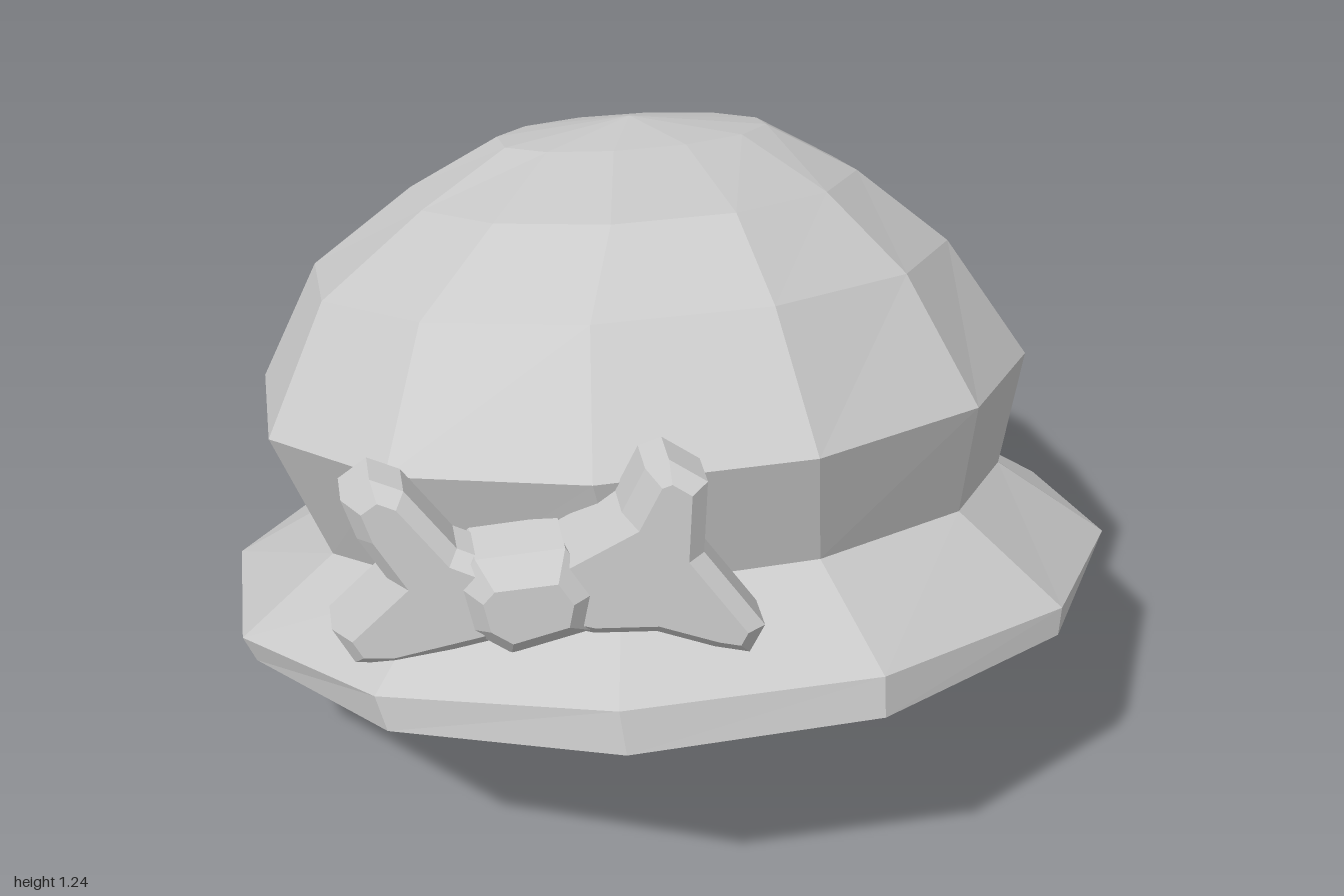
import * as THREE from 'three';

const SIDES = 12;
const material = new THREE.MeshStandardMaterial({ color: 0xcccccc, flatShading: true });

// A tilted egg-shaped ring around (cx, cz), reaching rx sideways and front / back along z.
// Height is y + slopeZ * z + slopeX * x + bend * z * z; skew pulls the back out on one side.
function ring({ cx, cz, rx, front, back, y, slopeZ = 0, slopeX = 0, bend = 0, skew = 0 }) {
  const points = [];
  const grow = 1 / Math.cos(Math.PI / SIDES); // makes the flat sides reach the extents
  for (let j = 0; j < SIDES; j++) {
    const a = ((j + 0.5) / SIDES) * Math.PI * 2;
    const c = Math.cos(a);
    const side = rx * grow * Math.sin(a);
    const x = cx + side;
    const z = cz + grow * c * (c > 0 ? front : back) + (c < 0 ? skew * side : 0);
    points.push(x, y + slopeZ * z + slopeX * x + bend * z * z, z);
  }
  return points;
}

// Skins a sequence of rings into one surface; a ring of zero width closes it.
function loft(name, rings) {
  const index = [];
  for (let i = 0; i < rings.length - 1; i++) {
    for (let j = 0; j < SIDES; j++) {
      const k = (j + 1) % SIDES;
      const a = i * SIDES + j, b = i * SIDES + k;
      const c = a + SIDES, d = b + SIDES;
      if (rings[i].rx > 0) index.push(a, b, d);
      if (rings[i + 1].rx > 0) index.push(a, d, c);
    }
  }
  const geometry = new THREE.BufferGeometry();
  geometry.setAttribute('position', new THREE.Float32BufferAttribute(rings.flatMap(ring), 3));
  geometry.setIndex(index);
  const flat = geometry.toNonIndexed();
  flat.computeVertexNormals();
  const mesh = new THREE.Mesh(flat, material);
  mesh.name = name;
  return mesh;
}

// A bevelled outline, slanted to follow the round of the crown.
function bowPiece(name, outline, thickness, bevel) {
  const shape = new THREE.Shape(outline.map(([x, y]) => new THREE.Vector2(x, y)));
  const geometry = new THREE.ExtrudeGeometry(shape, {
    depth: thickness - 2 * bevel,
    bevelEnabled: true,
    bevelThickness: bevel,
    bevelSize: bevel,
    bevelOffset: -bevel,
    bevelSegments: 1,
  });
  geometry.translate(0, 0, bevel - thickness / 2);
  const p = geometry.attributes.position;
  for (let i = 0; i < p.count; i++) {
    p.setZ(i, p.getZ(i) + 0.7 + 0.45 * (p.getX(i) + 0.4));
  }
  geometry.computeVertexNormals();
  const mesh = new THREE.Mesh(geometry, material);
  mesh.name = name;
  return mesh;
}

export function createModel() {
  const model = new THREE.Group();
  model.name = 'hat';

  const opening = { cx: 0, cz: 0.02, rx: 0.575, front: 0.67, back: 0.67, y: 0.275, slopeZ: 0.33, slopeX: 0.03, skew: 0.05 };
  const crownBase = { cx: -0.01, cz: -0.04, rx: 0.72, front: 0.74, back: 0.77, y: 0.435, slopeZ: 0.355, slopeX: 0.05, skew: 0.06 };

  // Hollow inside of the crown, a thick wall away from the outside
  const lining = loft('lining', [
    { cx: -0.03, cz: -0.22, rx: 0, front: 0, back: 0, y: 1.12 },
    { cx: -0.03, cz: -0.21, rx: 0.38, front: 0.42, back: 0.45, y: 1.07, slopeZ: 0.29, skew: 0.1 },
    { cx: -0.045, cz: -0.13, rx: 0.56, front: 0.58, back: 0.66, y: 0.93, slopeZ: 0.3, skew: 0.1 },
    { cx: -0.04, cz: -0.03, rx: 0.68, front: 0.68, back: 0.81, y: 0.73, slopeZ: 0.28, slopeX: 0.03, skew: 0.1 },
    opening,
  ]);

  // Brim: underside, thin outer edge, upper side
  const brim = loft('brim', [
    opening,
    { cx: 0, cz: 0.02, rx: 0.905, front: 0.98, back: 0.95, y: 0.258, slopeZ: 0.262, slopeX: 0.046, skew: 0.05 },
    { cx: -0.005, cz: 0.01, rx: 0.925, front: 0.97, back: 0.98, y: 0.29, slopeZ: 0.285, slopeX: 0.03, bend: 0.035, skew: 0.06 },
    crownBase,
  ]);

  // Crown: flares out to its widest ring, then domes over
  const crown = loft('crown', [
    crownBase,
    { cx: -0.05, cz: -0.02, rx: 0.79, front: 0.77, back: 0.94, y: 0.735, slopeZ: 0.28, slopeX: 0.03, skew: 0.1 },
    { cx: -0.055, cz: -0.14, rx: 0.655, front: 0.67, back: 0.77, y: 0.99, slopeZ: 0.31, slopeX: 0.02, skew: 0.1 },
    { cx: -0.03, cz: -0.22, rx: 0.46, front: 0.51, back: 0.54, y: 1.15, slopeZ: 0.3, slopeX: 0.02, skew: 0.1 },
    { cx: -0.02, cz: -0.27, rx: 0.28, front: 0.23, back: 0.26, y: 1.25, slopeZ: 0.28, slopeX: 0.02, skew: 0.1 },
    { cx: -0.03, cz: -0.24, rx: 0, front: 0, back: 0, y: 1.225 },
  ]);

  // Bow: two forked loops and a knot
  const bow = new THREE.Group();
  bow.name = 'bow';
  bow.add(
    bowPiece('bowRightLoop', [
      [-0.66, 0.915], [-0.715, 0.86], [-0.69, 0.78], [-0.64, 0.7], [-0.75, 0.56],
      [-0.71, 0.49], [-0.63, 0.505], [-0.44, 0.6], [-0.44, 0.77], [-0.51, 0.79], [-0.6, 0.9],
    ], 0.14, 0.03),
    bowPiece('bowLeftLoop', [
      [-0.14, 1.045], [-0.18, 1.02], [-0.22, 0.92], [-0.35, 0.81], [-0.35, 0.65],
      [-0.27, 0.645], [-0.16, 0.67], [-0.06, 0.655], [0.0, 0.655], [0.025, 0.72],
      [-0.08, 0.86], [-0.075, 1.01],
    ], 0.14, 0.03),
    bowPiece('bowKnot', [
      [-0.52, 0.72], [-0.5, 0.62], [-0.42, 0.58], [-0.28, 0.66],
      [-0.265, 0.75], [-0.32, 0.835], [-0.48, 0.78],
    ], 0.2, 0.045),
  );

  model.add(lining, brim, crown, bow);
  return model;
}
